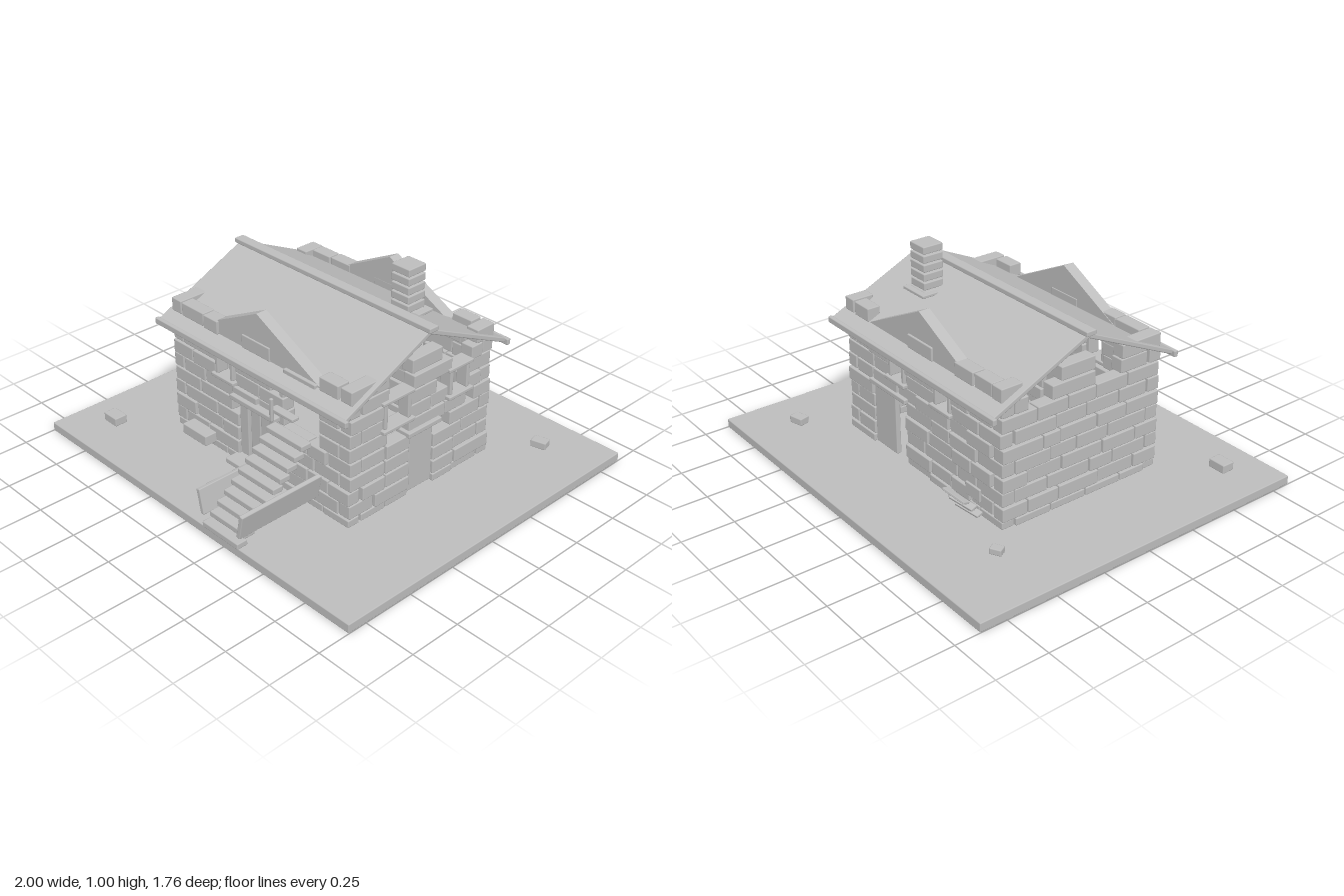
import * as THREE from 'three';
import { RoundedBoxGeometry } from 'three/addons/geometries/RoundedBoxGeometry.js';

export function createModel() {
  const model = new THREE.Group();
  model.name = 'ruinedStoneHouse';
  const stone = new THREE.MeshStandardMaterial({ color: 0xbdbdbd });
  stone.name = 'grey stone';

  let seed = 7;
  const rand = () => (seed = (seed * 16807) % 2147483647) / 2147483647;

  const group = (name) => {
    const g = new THREE.Group();
    g.name = name;
    model.add(g);
    return g;
  };
  // softly bevelled box given by centre and size
  const box = (parent, name, [x, y, z], [w, h, d], [rx, ry, rz] = [0, 0, 0]) => {
    const r = Math.min(0.005, Math.min(w, h, d) / 4);
    const m = new THREE.Mesh(new RoundedBoxGeometry(w, h, d, 1, r), stone);
    m.position.set(x, y, z);
    m.rotation.set(rx, ry, rz);
    m.name = name;
    parent.add(m);
    return m;
  };

  box(model, 'groundSlab', [0, 0.022, -0.018], [2, 0.044, 1.725]);

  // ---- Block walls: u runs along the wall, rows rise from the footing ----
  const ROW = 0.07, DEPTH = 0.065;
  const HX = 0.575, Z0 = -0.445, Z1 = 0.425;
  // voids are [u0, u1, y0, y1]
  function wall(name, lo, hi, fixed, alongX, parity, voids) {
    const g = group(name);
    for (let r = -1; r < 9; r++) {
      const y0 = r < 0 ? 0.055 : 0.093 + r * ROW;
      const h = r < 0 ? 0.036 : ROW - 0.005;
      const yc = y0 + h / 2;
      const inset = (r + 1 + parity) % 2 ? DEPTH + 0.004 : 0;
      let spans = [[lo + inset, hi - inset]];
      for (const [a, b, c, d] of voids) {
        if (yc < c || yc > d) continue;
        spans = spans.flatMap(([s, e]) => (b <= s || a >= e ? [[s, e]] : [[s, a], [b, e]]))
          .filter(([s, e]) => e - s > 0.015);
      }
      for (const [s, e] of spans) {
        const n = Math.max(1, Math.round((e - s) / 0.165));
        const cuts = [s];
        for (let i = 1; i < n; i++) cuts.push(s + (e - s) * (i + (rand() - 0.5) * 0.5) / n);
        cuts.push(e);
        for (let i = 0; i < n; i++) {
          const w = cuts[i + 1] - cuts[i] - 0.006, u = (cuts[i] + cuts[i + 1]) / 2;
          const f = fixed + (rand() - 0.5) * 0.014;
          if (alongX) box(g, 'block', [u, yc, f], [w, h, DEPTH]);
          else box(g, 'block', [f, yc, u], [DEPTH, h, w]);
        }
      }
    }
  }
  const topX = [[-0.25, -0.1, 0.65, 0.8], [0.085, 0.39, 0.65, 0.8]];
  const topZ = [[0.06, 0.2, 0.58, 0.8], [-0.33, -0.13, 0.65, 0.8], [-0.3, -0.18, 0.58, 0.65]];
  const zF = Z1 - DEPTH / 2, zB = Z0 + DEPTH / 2, xS = HX - DEPTH / 2;

  wall('frontWall', -HX, HX, zF, true, 0, [...topX,
    [-0.13, 0.14, 0.09, 0.38], [-0.27, -0.15, 0.46, 0.59],
    [0.17, 0.385, 0.37, 0.65], [-0.17, -0.13, 0.3, 0.38], [0.09, 0.14, 0.51, 0.59]]);
  wall('backWall', -HX, HX, zB, true, 0, [...topX,
    [0.12, 0.37, 0.05, 0.37], [0.11, 0.23, 0.46, 0.59], [-0.23, -0.11, 0.46, 0.59]]);
  wall('leftWall', Z0, Z1, xS, false, 1, [...topZ,
    [-0.08, 0.07, 0.06, 0.37], [0.08, 0.23, 0.46, 0.59], [-0.28, -0.17, 0.46, 0.59],
    [0.08, 0.2, 0.37, 0.44], [-0.17, -0.09, 0.5, 0.59],
    [-0.33, -0.29, 0.37, 0.44], [-0.18, -0.08, 0.3, 0.35]]);
  wall('rightWall', Z0, Z1, -xS, false, 1, topZ);

  // ---- Triangular parapets rising through the roof, front and back ----
  const tri = new THREE.Shape([[-0.55, 0.575], [0.55, 0.575], [0, 0.85]]
    .map(([x, y]) => new THREE.Vector2(x, y)));
  for (const [name, z] of [['frontParapet', 0.36], ['backParapet', -0.438]]) {
    const m = new THREE.Mesh(new THREE.ExtrudeGeometry(tri, { depth: 0.055, bevelEnabled: false }), stone);
    m.position.z = z;
    m.name = name;
    model.add(m);
  }

  // ---- Roof ----
  const roof = group('roof');
  const ridgeZ = -0.013, rise = 0.225, run = 0.488, tilt = Math.atan2(rise, run);
  for (const s of [1, -1]) {
    const z = ridgeZ + s * run / 2;
    box(roof, 'roofSlope', [0, 0.727, z], [1.2, 0.022, Math.hypot(rise, run)], [s * tilt, 0, 0]);
    box(roof, 'eaveBeam', [0, 0.61, ridgeZ + s * 0.495], [1.23, 0.03, 0.022]);
  }
  box(roof, 'ridgeBeam', [0, 0.855, ridgeZ], [1.23, 0.024, 0.052]);

  // ---- Chimney ----
  const chimney = group('chimney');
  for (let i = 0; i < 7; i++) {
    box(chimney, 'chimneyBlock', [0.313, 0.982 - i * 0.0428, -0.174], [0.105, 0.036, 0.105]);
  }
  box(chimney, 'flashing', [0.313, 0.776, -0.176], [0.155, 0.014, 0.155]);

  // ---- Windows: frame, sill and lintel; built facing +z, then turned ----
  function windowFrame(x, z, ry, w) {
    const g = group('window');
    g.position.set(x, 0, z);
    g.rotation.y = ry;
    box(g, 'sill', [0, 0.455, 0.015], [w + 0.03, 0.018, 0.08]);
    box(g, 'windowLintel', [0, 0.59, 0.012], [w + 0.03, 0.016, 0.075]);
    for (const s of [-1, 1]) {
      box(g, 'jamb', [s * (w / 2 - 0.01), 0.523, 0.012], [0.02, 0.12, 0.06]);
    }
  }
  windowFrame(-0.21, zF, 0, 0.12);
  windowFrame(xS, 0.155, Math.PI / 2, 0.16);
  windowFrame(xS, -0.228, Math.PI / 2, 0.125);
  windowFrame(0.17, zB, Math.PI, 0.12);
  windowFrame(-0.17, zB, Math.PI, 0.12);

  // ---- Front door ----
  const door = group('frontDoor');
  for (let i = 0; i < 2; i++) {
    box(door, 'doorPlank', [-0.041 + i * 0.066, 0.235, zF], [0.063, 0.27, 0.02]);
  }
  for (const x of [-0.1, 0.095]) box(door, 'doorPost', [x, 0.235, zF], [0.055, 0.27, 0.05]);
  box(door, 'doorLintel', [-0.008, 0.395, zF + 0.015], [0.295, 0.025, 0.09]);
  box(door, 'doorstep', [0, 0.078, 0.44], [0.31, 0.025, 0.1]);

  // ---- Side and back doors ----
  box(model, 'sideDoor', [xS + 0.01, 0.21, -0.008], [0.03, 0.285, 0.145]);
  box(model, 'sideDoorLintel', [xS + 0.012, 0.374, -0.008], [0.08, 0.024, 0.205]);
  box(model, 'backDoor', [0.285, 0.205, zB - 0.015], [0.165, 0.29, 0.025]);
  box(model, 'backDoorLintel', [0.245, 0.374, zB - 0.008], [0.28, 0.024, 0.075]);

  // ---- Outside stairs to the upper doorway ----
  const stairs = group('stairs');
  for (let i = 0; i < 10; i++) {
    box(stairs, 'step', [0.275, 0.092 + i * 0.0345, 0.852 - i * 0.04], [0.225, 0.028, 0.056]);
  }
  for (const s of [-1, 1]) {
    box(stairs, 'stringer', [0.273 + s * 0.125, 0.194, 0.655], [0.022, 0.12, 0.44], [0, 0, -s * 0.2]);
  }
  box(stairs, 'upperDoorLintel', [0.275, 0.655, 0.398], [0.195, 0.024, 0.065]);
  box(stairs, 'landingRail', [0.2, 0.462, 0.445], [0.14, 0.016, 0.04]);
  box(stairs, 'landingPost', [0.142, 0.465, 0.467], [0.016, 0.11, 0.016]);

  // ---- Loose stones and fallen boards ----
  const rubble = group('rubble');
  box(rubble, 'looseStone', [-0.785, 0.08, 0.635], [0.09, 0.042, 0.065]);
  box(rubble, 'looseStone', [-0.697, 0.08, -0.565], [0.055, 0.03, 0.042], [0, 0.5, 0]);
  box(rubble, 'looseStone', [0.732, 0.08, -0.64], [0.075, 0.036, 0.052], [0, 0.25, 0]);
  box(rubble, 'fallenBlock', [-0.375, 0.107, 0.455], [0.165, 0.052, 0.07]);
  for (let i = 0; i < 4; i++) {
    box(rubble, 'fallenBoard', [-0.4 + (i % 2) * 0.03, 0.095 + i * 0.022, -0.485 - i * 0.015],
      [0.14, 0.012, 0.035], [0.3 * (i % 2 ? 1 : -1), 0.1, 0.05]);
  }
  box(rubble, 'leaningBoard', [-0.42, 0.185, -0.475], [0.1, 0.06, 0.012]);

  return model;
}
